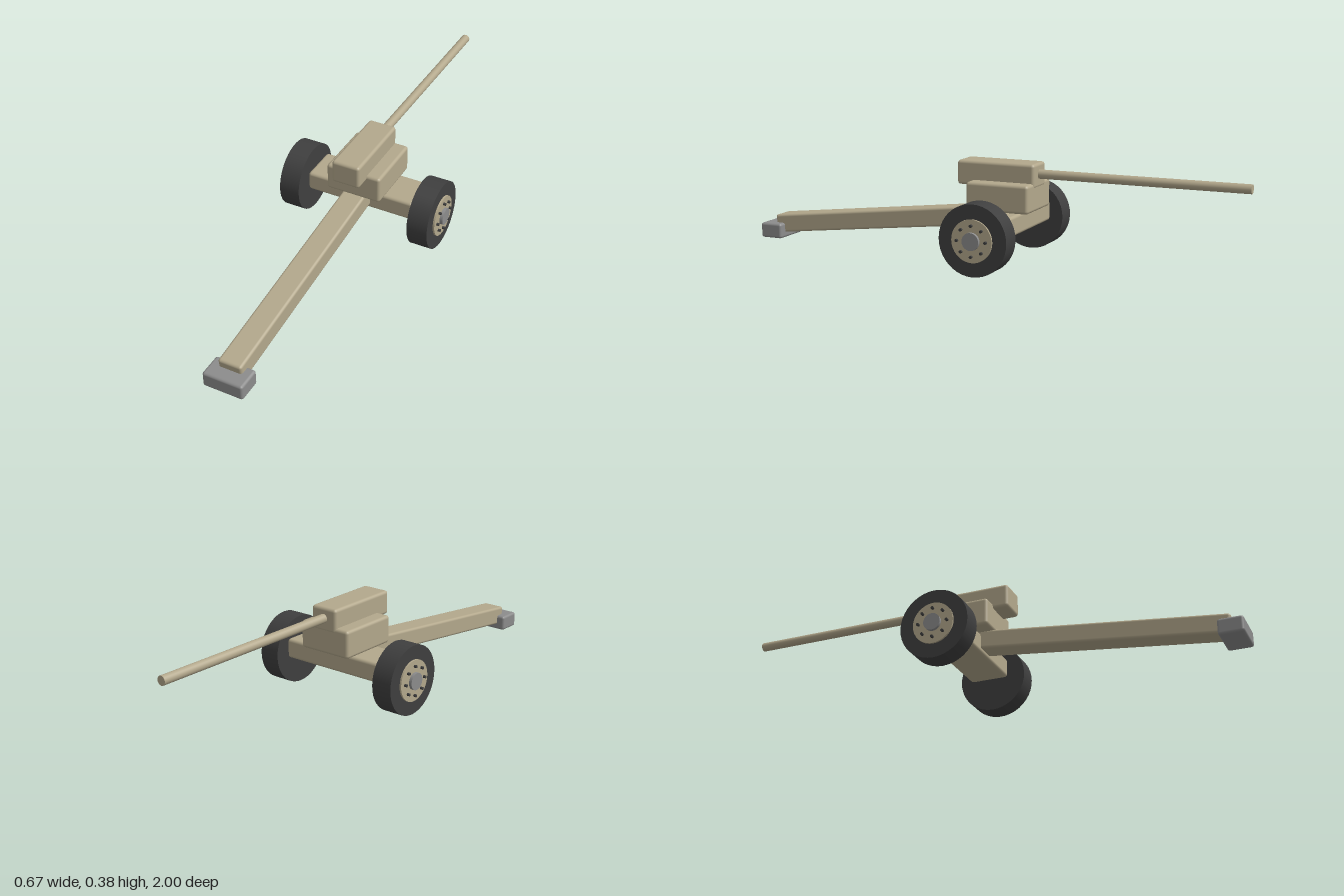
import * as THREE from 'three';
import { RoundedBoxGeometry } from 'three/addons/geometries/RoundedBoxGeometry.js';

const paint = (color) => new THREE.MeshStandardMaterial({ color });

export function createModel() {
  const model = new THREE.Group();
  model.name = 'fieldGun';
  const tan = paint(0xb3a88c), rubber = paint(0x3f3f3f), steel = paint(0x8c8c8c);

  // Softened block given by its extents in y and z, centred on x = 0
  function block(name, width, [y0, y1], [z0, z1], material, radius = 0.012) {
    const mesh = new THREE.Mesh(new RoundedBoxGeometry(width, y1 - y0, z1 - z0, 2, radius), material);
    mesh.position.set(0, (y0 + y1) / 2, (z0 + z1) / 2);
    mesh.name = name;
    model.add(mesh);
    return mesh;
  }

  block('axleBeam', 0.446, [0.123, 0.2], [-0.155, 0], tan);
  block('carriage', 0.223, [0.203, 0.311], [-0.198, 0.054], tan);
  block('breech', 0.114, [0.29, 0.383], [-0.2, 0.115], tan);
  block('spade', 0.158, [0.01, 0.071], [0.905, 1], steel, 0.01);

  // Sloping trail from the axle down to the spade
  const tilt = 0.1165, length = 1.0;
  const trail = block('trail', 0.092, [0, 0.074], [0, length], tan, 0.01);
  trail.position.set(0, 0.123, 0.449);
  trail.rotation.x = tilt;

  // Barrel
  const barrel = new THREE.Mesh(new THREE.CylinderGeometry(0.0175, 0.0175, 0.82, 24), tan);
  barrel.name = 'barrel';
  barrel.rotation.x = Math.PI / 2;
  barrel.position.set(0, 0.341, -0.59);
  model.add(barrel);

  // Wheels: each is built pointing outward along +x
  for (const side of [1, -1]) {
    const wheel = new THREE.Group();
    wheel.name = side > 0 ? 'leftWheel' : 'rightWheel';
    wheel.position.set(0, 0.135, -0.069);
    if (side < 0) wheel.rotation.y = Math.PI;

    const disc = (name, radius, x0, x1, material, sides, y = 0, z = 0) => {
      const mesh = new THREE.Mesh(new THREE.CylinderGeometry(radius, radius, x1 - x0, sides), material);
      mesh.rotation.z = -Math.PI / 2;
      mesh.position.set((x0 + x1) / 2, y, z);
      mesh.name = name;
      wheel.add(mesh);
    };
    disc('tyre', 0.134, 0.231, 0.314, rubber, 40);
    disc('rim', 0.08, 0.3, 0.321, tan, 32);
    disc('hub', 0.033, 0.3, 0.333, steel, 24);
    for (let i = 0; i < 8; i++) {
      const a = (i * Math.PI) / 4;
      disc('wheelBolt', 0.0055, 0.312, 0.331, rubber, 10, 0.057 * Math.sin(a), 0.057 * Math.cos(a));
    }
    model.add(wheel);
  }
  return model;
}
